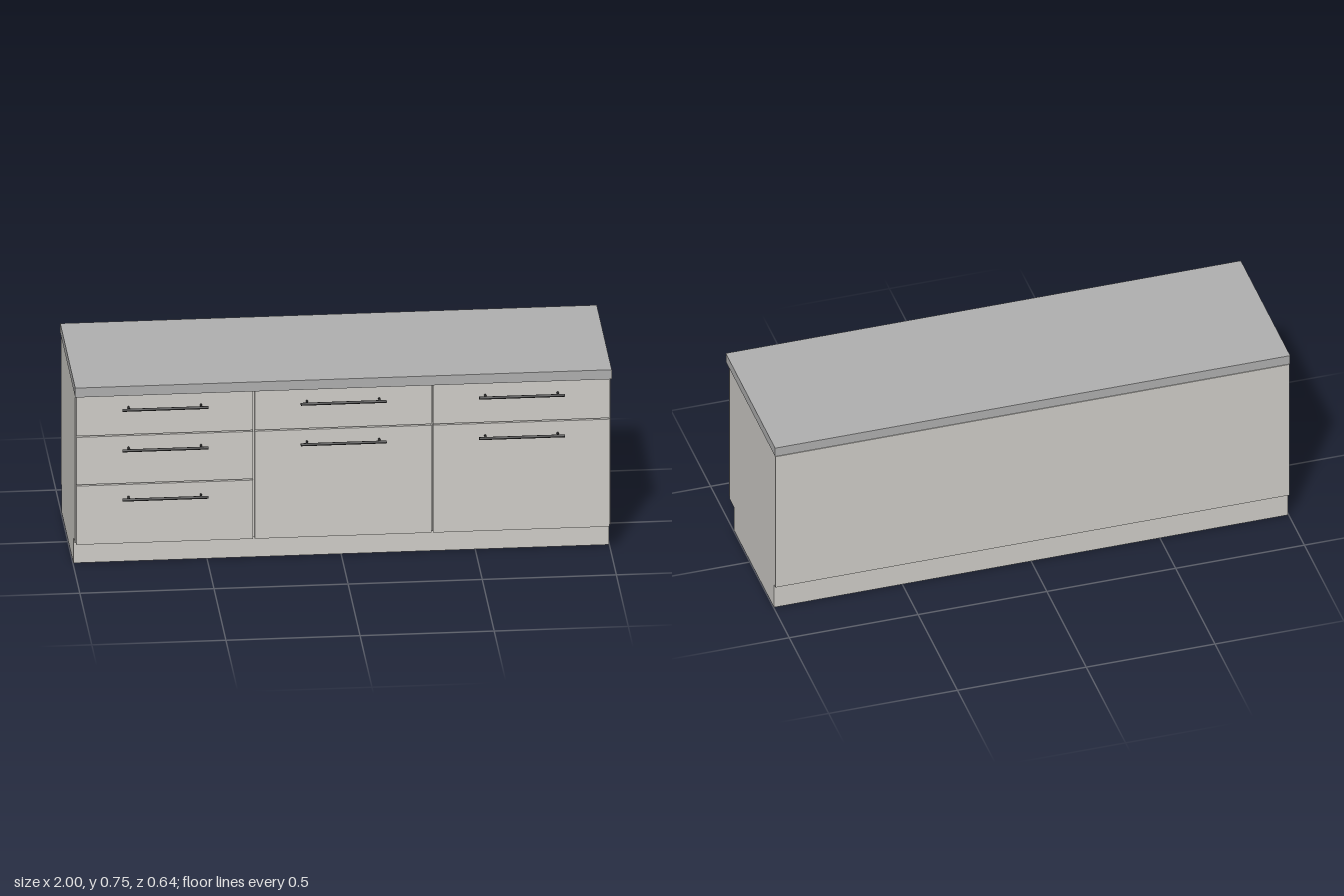
import * as THREE from 'three';

const cabinetMat = new THREE.MeshStandardMaterial({ color: 0xd0cec9 });
const topMat = new THREE.MeshStandardMaterial({ color: 0xb0b0b0 });
const handleMat = new THREE.MeshStandardMaterial({ color: 0x2c2c2c });

// Box given by its lower and upper limits on each axis
function box(name, mat, [x0, x1], [y0, y1], [z0, z1]) {
  const mesh = new THREE.Mesh(new THREE.BoxGeometry(x1 - x0, y1 - y0, z1 - z0), mat);
  mesh.name = name;
  mesh.position.set((x0 + x1) / 2, (y0 + y1) / 2, (z0 + z1) / 2);
  return mesh;
}

// Round bar on two posts, with its origin on the front panel
function barHandle() {
  const handle = new THREE.Group();
  handle.name = 'handle';
  const bar = new THREE.Mesh(new THREE.CylinderGeometry(0.0055, 0.0055, 0.32, 16), handleMat);
  bar.name = 'handleBar';
  bar.rotation.z = Math.PI / 2;
  bar.position.z = 0.03;
  handle.add(bar);
  for (const side of [-1, 1]) {
    const post = new THREE.Mesh(new THREE.CylinderGeometry(0.004, 0.004, 0.03, 12), handleMat);
    post.name = 'handlePost';
    post.rotation.x = Math.PI / 2;
    post.position.set(side * 0.135, 0, 0.015);
    handle.add(post);
  }
  return handle;
}

export function createModel() {
  const model = new THREE.Group();
  model.name = 'sideboard';

  // Body
  model.add(
    box('plinth', cabinetMat, [-0.998, 0.998], [0, 0.105], [-0.3, 0.207]),
    box('carcass', cabinetMat, [-0.998, 0.998], [0.105, 0.705], [-0.32, 0.267]),
    box('countertop', topMat, [-1, 1], [0.707, 0.745], [-0.32, 0.307])
  );

  // Fronts of each column: bottom, top and handle height
  const topDrawer = ['drawerFront', 0.543, 0.702, 0.653];
  const door = ['doorFront', 0.106, 0.538, 0.49];
  const columns = [
    [topDrawer, ['drawerFront', 0.347, 0.538, 0.49], ['drawerFront', 0.106, 0.342, 0.292]],
    [topDrawer, door],
    [topDrawer, door],
  ];
  columns.forEach((fronts, i) => {
    const x = (i - 1) * 0.665;
    for (const [name, y0, y1, handleY] of fronts) {
      model.add(box(name, cabinetMat, [x - 0.329, x + 0.329], [y0, y1], [0.269, 0.287]));
      const handle = barHandle();
      handle.position.set(x, handleY, 0.287);
      model.add(handle);
    }
  });
  return model;
}
